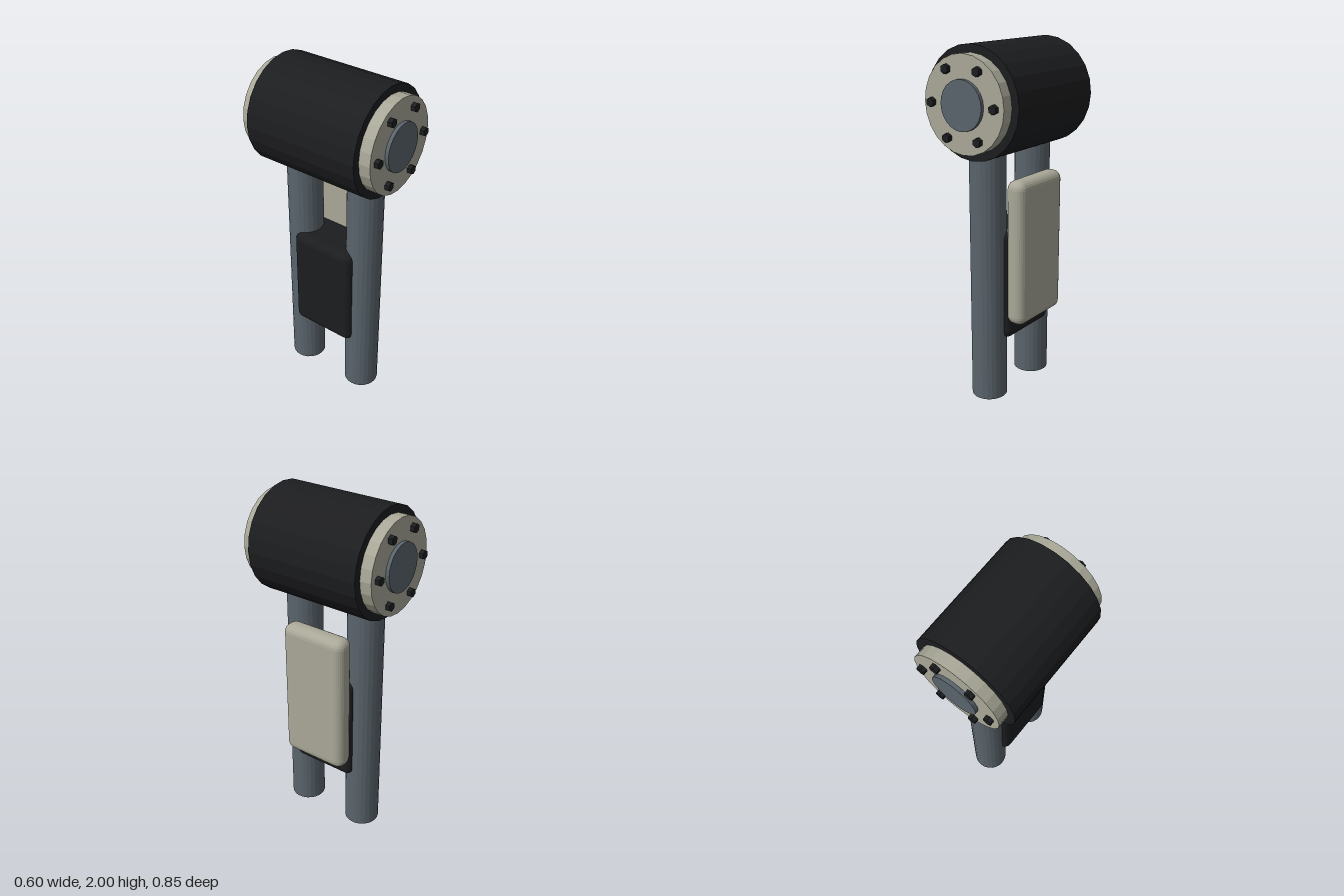
import * as THREE from 'three';
import { RoundedBoxGeometry } from 'three/addons/geometries/RoundedBoxGeometry.js';

const paint = (color) => new THREE.MeshStandardMaterial({ color, flatShading: true });

export function createModel() {
  const model = new THREE.Group();
  const black = paint(0x1c1d1f), beige = paint(0xa9a898), steel = paint(0x5a646c);

  const add = (name, geometry, material, x, y, z, parent = model) => {
    const mesh = new THREE.Mesh(geometry, material);
    mesh.name = name;
    mesh.position.set(x, y, z);
    parent.add(mesh);
    return mesh;
  };
  // Cylinder lying along z, spanning z0 to z1
  const axial = (name, radius, z0, z1, sides, material, parent, x = 0, y = 0) =>
    add(name, new THREE.CylinderGeometry(radius, radius, z1 - z0, sides).rotateX(Math.PI / 2),
      material, x, y, (z0 + z1) / 2, parent);

  // Horizontal joint drum
  const joint = new THREE.Group();
  joint.name = 'joint';
  joint.position.y = 1.7;
  model.add(joint);
  axial('drum', 0.3, -0.335, 0.335, 24, black, joint);

  // End caps with hub and a ring of six hexagonal bolts
  for (const [name, turn] of [['frontCap', 0], ['backCap', Math.PI]]) {
    const cap = new THREE.Group();
    cap.name = name;
    cap.rotation.y = turn;
    joint.add(cap);
    axial('flange', 0.257, 0.3, 0.4, 24, beige, cap);
    axial('hub', 0.132, 0.36, 0.42, 24, steel, cap);
    for (let i = 0; i < 6; i++) {
      const a = i * Math.PI / 3;
      axial('bolt', 0.025, 0.38, 0.425, 6, black, cap, 0.202 * Math.cos(a), 0.202 * Math.sin(a));
    }
  }

  // Two parallel tubes standing on the ground
  for (const [name, z] of [['frontTube', 0.205], ['backTube', -0.205]]) {
    add(name, new THREE.CylinderGeometry(0.101, 0.101, 1.5, 24), steel, 0, 0.75, z);
  }

  // Clamp block between the tubes and cover panel on the left side
  add('clampBlock', new RoundedBoxGeometry(0.265, 0.63, 0.4, 3, 0.045), black, 0, 0.673, 0);
  add('coverPanel', new RoundedBoxGeometry(0.118, 0.83, 0.4, 3, 0.05), beige, 0.162, 0.871, 0);

  return model;
}
